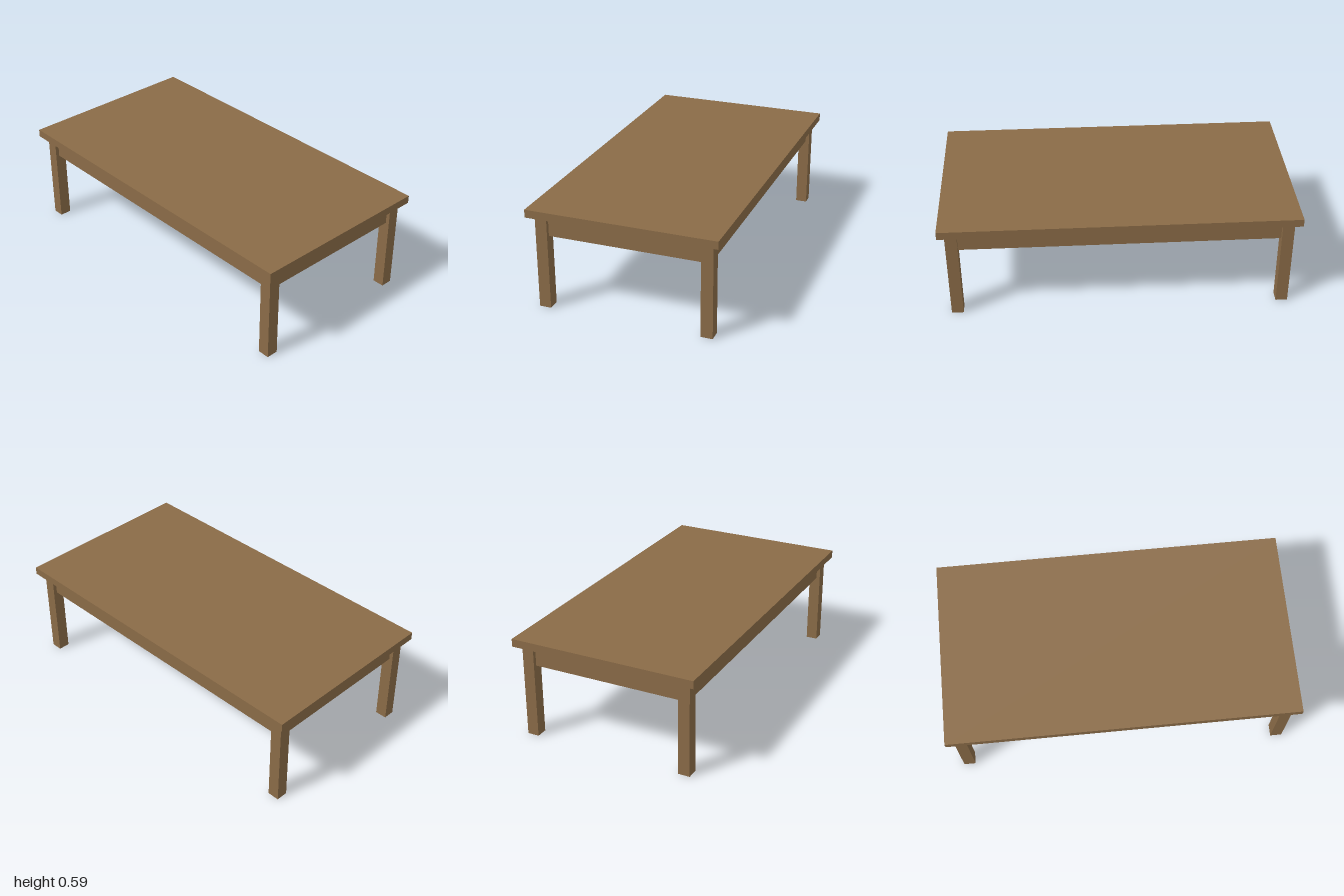
import * as THREE from 'three';

export function createModel() {
  const table = new THREE.Group();
  table.name = 'coffeeTable';
  const wood = new THREE.MeshStandardMaterial({ color: 0x8a6b47 });
  wood.name = 'brown wood';

  const addBox = (name, [w, h, d], [x, y, z]) => {
    const mesh = new THREE.Mesh(new THREE.BoxGeometry(w, h, d), wood);
    mesh.name = name;
    mesh.position.set(x, y, z);
    table.add(mesh);
  };

  const legSize = 0.067, legHeight = 0.541, legX = 0.929, legZ = 0.466;
  const topThick = 0.045, apronHeight = 0.116, apronThick = 0.024;
  const apronY = legHeight - apronHeight / 2;

  addBox('tableTop', [2, topThick, 1.076], [0, legHeight + topThick / 2, 0]);

  for (const s of [-1, 1]) {
    // Rails run between the legs, set back from their outer faces
    addBox(s > 0 ? 'frontApron' : 'backApron',
      [2 * legX - legSize, apronHeight, apronThick], [0, apronY, s * legZ]);
    addBox(s > 0 ? 'leftApron' : 'rightApron',
      [apronThick, apronHeight, 2 * legZ - legSize], [s * legX, apronY, 0]);

    // Square legs, one pair per side
    for (const t of [-1, 1]) {
      addBox(`${t > 0 ? 'front' : 'back'}${s > 0 ? 'Left' : 'Right'}Leg`,
        [legSize, legHeight, legSize], [s * legX, legHeight / 2, t * legZ]);
    }
  }
  return table;
}
